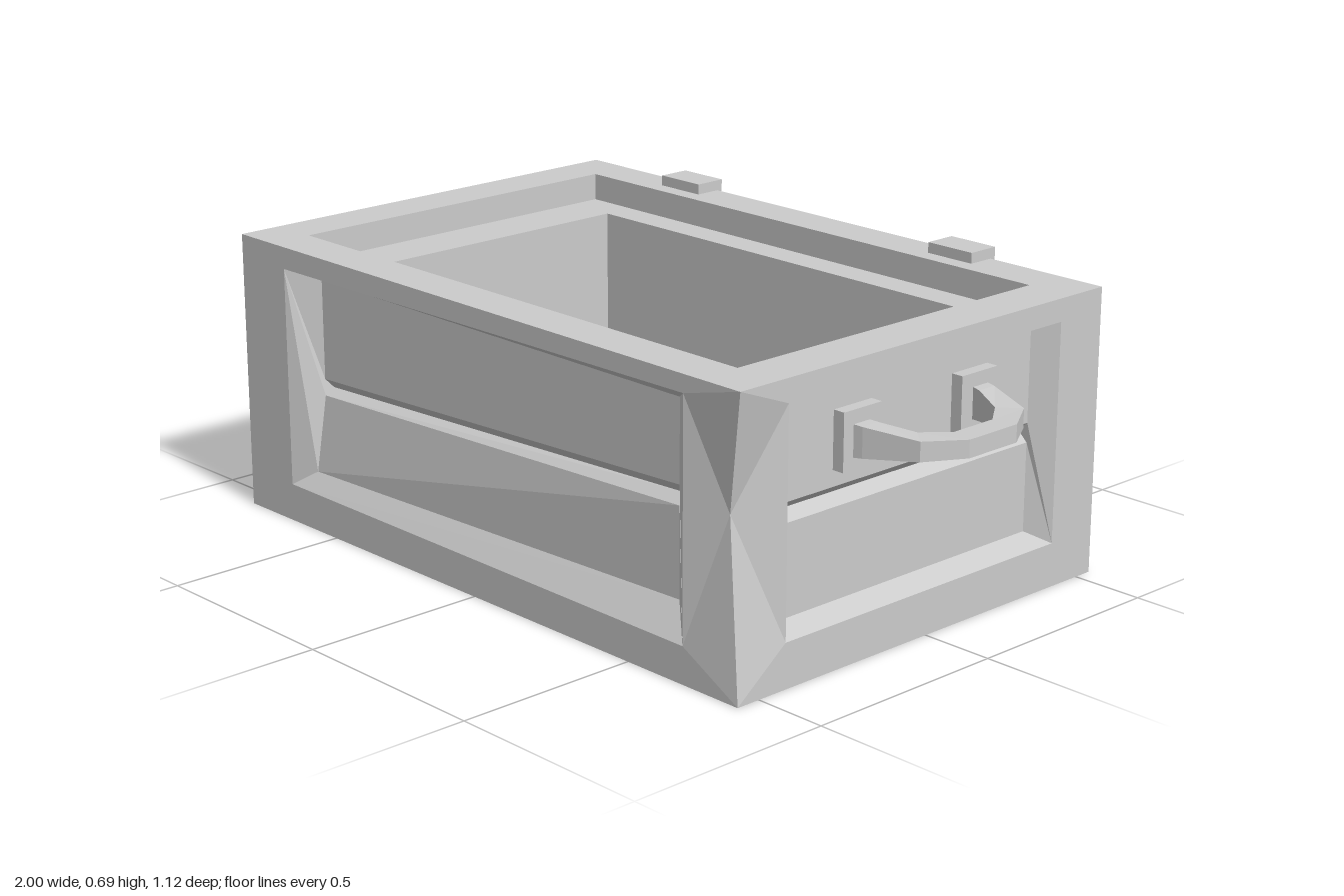
import * as THREE from 'three';

const mat = new THREE.MeshStandardMaterial({ color: 0xcccccc, flatShading: true });
const HX = 0.826, HZ = 0.5525, H = 0.665; // half width, half depth, height

// Collects flat polygons (fan from the first corner, counter-clockwise from outside)
class Faces {
  constructor() { this.pos = []; }
  add(...p) {
    for (let i = 1; i < p.length - 1; i++) this.pos.push(...p[0], ...p[i], ...p[i + 1]);
  }
  mesh(name) {
    const g = new THREE.BufferGeometry();
    g.setAttribute('position', new THREE.Float32BufferAttribute(this.pos, 3));
    g.computeVertexNormals();
    const m = new THREE.Mesh(g, mat);
    m.name = name;
    return m;
  }
}

// Wall with a bevelled recess and a V groove across it.
// place(u, v, d) maps local across/up/inward coordinates to the model.
// open: corner heights of the recess; rows: [leftV, rightV, leftD, rightD] from top to bottom
function wall(name, place, half, o) {
  const f = new Faces();
  const P = a => place(...a);
  const { ou, iu, open, rows } = o;
  const OT = [[-half, H, 0], [half, H, 0]].map(P), OB = [[-half, 0, 0], [half, 0, 0]].map(P);
  const midL = P(o.dentL || [-half, 0.39, 0]), midR = P(o.dentR || [half, 0.39, 0]);
  const RT = [P([-ou, open[0], 0]), P([ou, open[1], 0])];
  const RB = [P([-ou, open[2], 0]), P([ou, open[3], 0])];
  const L = rows.map(r => P([-iu, r[0], r[2]])), R = rows.map(r => P([iu, r[1], r[3]]));
  const n = rows.length - 1;
  // frame
  f.add(RT[0], RT[1], OT[1], OT[0]);
  f.add(OB[0], OB[1], RB[1], RB[0]);
  f.add(midL, OB[0], RB[0], RT[0], OT[0]);
  f.add(midR, OT[1], RT[1], RB[1], OB[1]);
  // bevels
  f.add(L[0], R[0], RT[1], RT[0]);
  f.add(RB[0], RB[1], R[n], L[n]);
  f.add(RT[0], RB[0], ...[...L].reverse());
  f.add(RB[1], RT[1], ...R);
  // recessed panel with groove
  for (let i = 0; i < n; i++) f.add(L[i + 1], R[i + 1], R[i], L[i]);
  return f.mesh(name);
}

// Rim, ledge, inner well and underside as stepped rectangles
function wellAndBase() {
  const f = new Faces();
  const ring = (x, z, y) => [[-x, y, z], [x, y, z], [x, y, -z], [-x, y, -z]];
  const rings = [
    ring(HX, HZ, H), ring(0.71, 0.4465, H), ring(0.71, 0.4465, 0.6),
    ring(0.58, 0.3695, 0.6), ring(0.58, 0.3695, 0.08),
  ];
  for (let k = 0; k < rings.length - 1; k++) {
    for (let i = 0; i < 4; i++) {
      const j = (i + 1) % 4;
      f.add(rings[k][i], rings[k][j], rings[k + 1][j], rings[k + 1][i]);
    }
  }
  f.add(...rings[4]);
  f.add(...ring(HX, HZ, 0).reverse());
  return f.mesh('rimWellAndBase');
}

// Angular carrying handle, swept from rectangular sections, with two mounting plates
function handle(name) {
  const g = new THREE.Group();
  g.name = name;
  // [outerX, outerZ, innerX, innerZ, halfHeight] for one half
  const half = [
    [0.78, 0.212, 0.78, 0.165, 0.038],
    [0.826, 0.203, 0.826, 0.155, 0.034],
    [0.945, 0.16, 0.9, 0.12, 0.022],
    [1.0, 0.073, 0.945, 0.06, 0.02],
  ];
  const path = [...half, ...half.map(s => [s[0], -s[1], s[2], -s[3], s[4]]).reverse()];
  const sec = path.map(([ox, oz, ix, iz, h]) =>
    [[ox, 0.48 + h, oz], [ox, 0.48 - h, oz], [ix, 0.48 - h, iz], [ix, 0.48 + h, iz]]);
  const f = new Faces();
  for (let k = 0; k < sec.length - 1; k++) {
    for (let i = 0; i < 4; i++) {
      const j = (i + 1) % 4;
      f.add(sec[k][i], sec[k][j], sec[k + 1][j], sec[k + 1][i]);
    }
  }
  f.add(...[...sec[0]].reverse());
  f.add(...sec[sec.length - 1]);
  g.add(f.mesh('handleGrip'));
  for (const s of [1, -1]) {
    const plate = new THREE.Mesh(new THREE.BoxGeometry(0.05, 0.13, 0.112), mat);
    plate.name = 'handlePlate';
    plate.position.set(0.78, 0.482, s * 0.18);
    g.add(plate);
  }
  return g;
}

// Hooked clasp over the back edge
function clasp(x) {
  const s = new THREE.Shape([
    [0.488, 0.69], [0.488, 0.66], [0.51, 0.655], [0.515, 0.515],
    [0.55, 0.503], [0.558, 0.515], [0.5675, 0.665], [0.5675, 0.69],
  ].map(p => new THREE.Vector2(...p)));
  const g = new THREE.ExtrudeGeometry(s, { depth: 0.13, bevelEnabled: false });
  g.translate(0, 0, -0.065);
  g.rotateY(Math.PI / 2); // profile now reaches toward the back
  // narrow the hanging tongue slightly
  const p = g.attributes.position;
  for (let i = 0; i < p.count; i++) if (p.getY(i) < 0.6) p.setX(i, p.getX(i) * 0.85);
  g.computeVertexNormals();
  const m = new THREE.Mesh(g, mat);
  m.name = 'clasp';
  m.position.x = x;
  return m;
}

export function createModel() {
  const crate = new THREE.Group();
  crate.name = 'crate';
  const body = new THREE.Group();
  body.name = 'body';
  body.position.z = 0.0075;
  crate.add(body);

  // long walls, with a slanted groove
  body.add(wall('frontWall', (u, v, d) => [u, v, HZ - d], HX, {
    ou: 0.665, iu: 0.603, open: [0.613, 0.625, 0.09, 0.085], dentR: [0.77, 0.39, 0.03],
    rows: [[0.588, 0.592, 0.06, 0.05], [0.35, 0.405, 0.06, 0.05], [0.325, 0.38, 0.085, 0.075],
      [0.31, 0.36, 0.06, 0.05], [0.13, 0.155, 0.03, 0.05]],
  }));
  body.add(wall('backWall', (u, v, d) => [-u, v, d - HZ], HX, {
    ou: 0.665, iu: 0.603, open: [0.63, 0.615, 0.09, 0.085],
    rows: [[0.56, 0.592, 0.065, 0.055], [0.35, 0.405, 0.06, 0.055], [0.325, 0.38, 0.085, 0.08],
      [0.31, 0.36, 0.06, 0.055], [0.13, 0.15, 0.035, 0.05]],
  }));

  // end walls, with a level groove
  const end = {
    ou: 0.4175, iu: 0.3775, open: [0.612, 0.612, 0.103, 0.103],
    rows: [[0.59, 0.05], [0.38, 0.05], [0.358, 0.075], [0.335, 0.05], [0.128, 0.05]]
      .map(([v, d]) => [v, v, d, d]),
  };
  body.add(wall('leftWall', (u, v, d) => [HX - d, v, -u], HZ,
    { ...end, dentL: [-0.5225, 0.39, 0.056] }));
  body.add(wall('rightWall', (u, v, d) => [d - HX, v, u], HZ, end));

  body.add(wellAndBase());

  const leftHandle = handle('leftHandle');
  const rightHandle = handle('rightHandle');
  rightHandle.rotation.y = Math.PI;
  body.add(leftHandle, rightHandle);

  for (const x of [-0.443, 0.441]) body.add(clasp(x));
  return crate;
}
